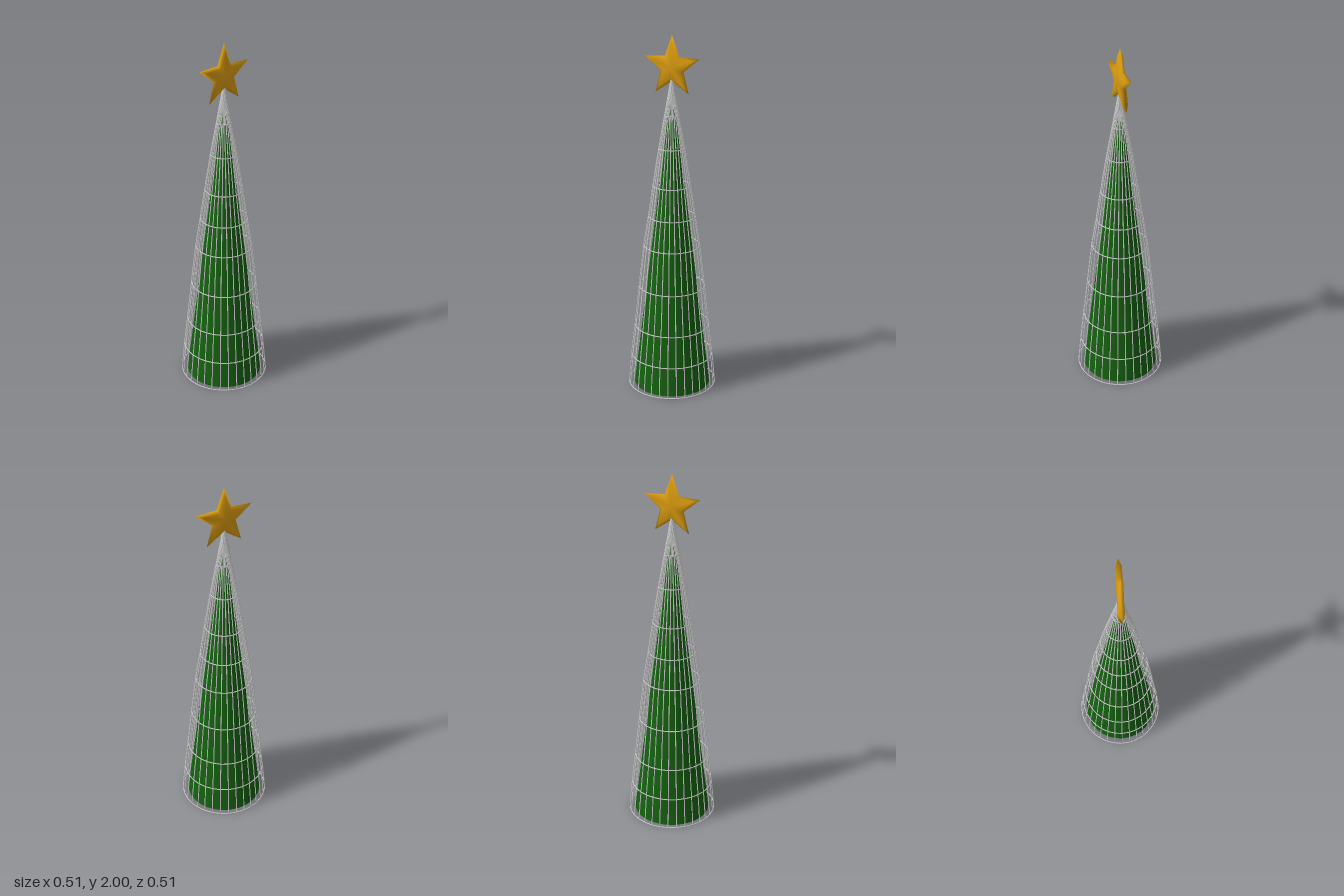
import * as THREE from 'three';

const SIDES = 32;
const WIRE = 0.003;
// cage profile: [radius, height], one hoop per level except the tip
const PROFILE = [
  [0.25, 0.003], [0.233, 0.18], [0.212, 0.36], [0.186, 0.595], [0.158, 0.835],
  [0.131, 1.005], [0.105, 1.18], [0.072, 1.39], [0.04, 1.57], [0.006, 1.765],
];

// Five-pointed star with a bevelled rim, built from three outlines and two centres
function starGeometry(tip, notch, halfDepth) {
  const pos = [], index = [];
  const layers = [[halfDepth, 0.77], [0, 1], [-halfDepth, 0.77]];
  for (const [z, s] of layers) {
    for (let i = 0; i < 10; i++) {
      const a = Math.PI / 2 + (i * Math.PI) / 5;
      const r = (i % 2 ? notch : tip) * s;
      pos.push(r * Math.cos(a), r * Math.sin(a), z);
    }
  }
  pos.push(0, 0, halfDepth, 0, 0, -halfDepth);
  for (let i = 0; i < 10; i++) {
    const j = (i + 1) % 10;
    index.push(30, i, j, 31, 20 + j, 20 + i);
    for (const k of [0, 10]) {
      index.push(k + i, k + 10 + i, k + 10 + j, k + i, k + 10 + j, k + j);
    }
  }
  const geo = new THREE.BufferGeometry();
  geo.setAttribute('position', new THREE.Float32BufferAttribute(pos, 3));
  geo.setIndex(index);
  geo.computeVertexNormals();
  return geo;
}

export function createModel() {
  const model = new THREE.Group();
  model.name = 'wireTree';

  const wireMat = new THREE.MeshStandardMaterial({ color: 0xcccccc });
  const greenMat = new THREE.MeshStandardMaterial({ color: 0x14600f, side: THREE.DoubleSide });
  const goldMat = new THREE.MeshStandardMaterial({ color: 0xdb9c10 });

  // Open green cone inside the cage
  const coneHeight = 1.74;
  const cone = new THREE.Mesh(new THREE.ConeGeometry(0.217, coneHeight, SIDES, 1, true), greenMat);
  cone.name = 'innerCone';
  cone.position.y = coneHeight / 2;
  model.add(cone);

  const cage = new THREE.Group();
  cage.name = 'wireCage';
  model.add(cage);

  // Horizontal hoops
  PROFILE.slice(0, -1).forEach(([r, y]) => {
    const hoop = new THREE.Mesh(new THREE.TorusGeometry(r, WIRE, 6, SIDES), wireMat);
    hoop.name = 'hoop';
    hoop.rotation.x = Math.PI / 2;
    hoop.position.y = y;
    cage.add(hoop);
  });

  // Upright wires, all sharing one bent tube
  const path = new THREE.CatmullRomCurve3(PROFILE.map(([r, y]) => new THREE.Vector3(r, y, 0)));
  const uprightGeo = new THREE.TubeGeometry(path, 18, WIRE, 6, false);
  for (let i = 0; i < SIDES; i++) {
    const upright = new THREE.Mesh(uprightGeo, wireMat);
    upright.name = 'uprightWire';
    upright.rotation.y = (i / SIDES) * Math.PI * 2;
    cage.add(upright);
  }

  // Star on the tip
  const star = new THREE.Mesh(starGeometry(0.171, 0.072, 0.016), goldMat);
  star.name = 'star';
  star.position.y = 1.829;
  model.add(star);

  return model;
}
